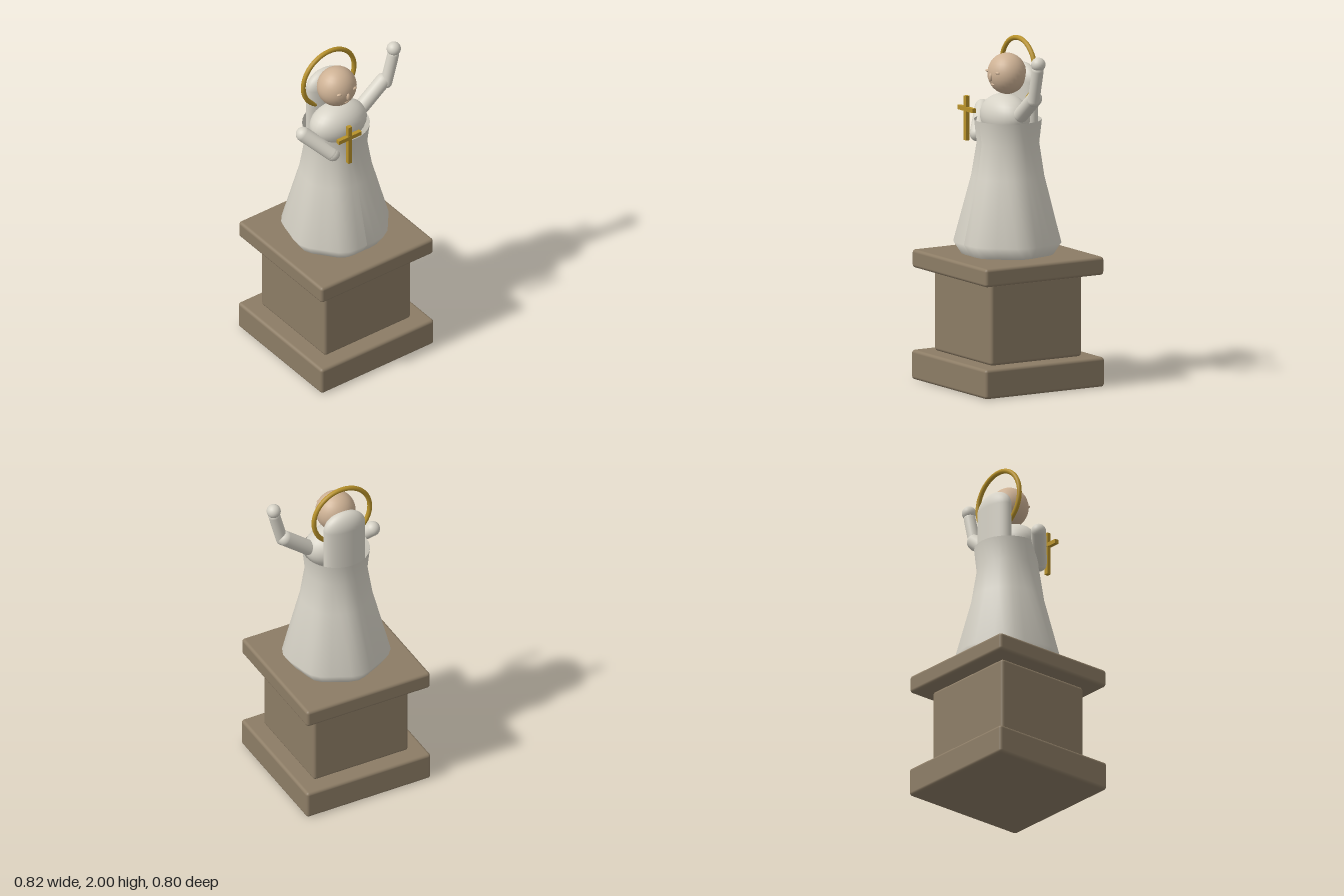
import * as THREE from 'three';
import { RoundedBoxGeometry } from 'three/addons/geometries/RoundedBoxGeometry.js';

const CX = -0.012; // centre line of the figure and plinth

function material(name, color, side = THREE.FrontSide) {
  const m = new THREE.MeshStandardMaterial({ color, side });
  m.name = name;
  return m;
}

export function createModel() {
  const group = new THREE.Group();
  const stone = material('stone', 0x8c7c65);
  const cloth = material('cloth', 0xd6d2c6, THREE.DoubleSide);
  const gold = material('gold', 0xb8922a);
  const skin = material('skin', 0xceb295);

  function add(name, geometry, mat, x = 0, y = 0, z = 0) {
    const mesh = new THREE.Mesh(geometry, mat);
    mesh.name = name;
    mesh.position.set(x, y, z);
    group.add(mesh);
    return mesh;
  }
  const ellipsoid = (name, mat, x, y, z, rx, ry, rz, seg = 32) =>
    add(name, new THREE.SphereGeometry(1, seg, seg / 2).scale(rx, ry, rz), mat, x, y, z);

  // Round-ended limb between two points
  function limb(name, from, to, r) {
    const a = new THREE.Vector3(...from), b = new THREE.Vector3(...to);
    const dir = b.clone().sub(a);
    const mesh = add(name, new THREE.CapsuleGeometry(r, dir.length(), 8, 24), cloth);
    mesh.position.copy(a).add(b).multiplyScalar(0.5);
    mesh.quaternion.setFromUnitVectors(new THREE.Vector3(0, 1, 0), dir.normalize());
  }

  // Plinth: three rounded blocks [name, bottom, top, width]
  for (const [name, y0, y1, w] of [
    ['plinthBase', 0, 0.17, 0.8],
    ['plinthShaft', 0.17, 0.645, 0.61],
    ['plinthCap', 0.645, 0.75, 0.795],
  ]) add(name, new RoundedBoxGeometry(w, y1 - y0, w, 3, 0.018), stone, CX, (y0 + y1) / 2, 0);

  // Robe: open lathe with seven soft folds that fade out towards the top
  const profile = [[0.26, 0.755], [0.305, 0.825], [0.208, 1.2], [0.178, 1.39], [0.193, 1.525]];
  const robe = new THREE.LatheGeometry(profile.map(p => new THREE.Vector2(...p)), 32);
  const pos = robe.attributes.position;
  for (let i = 0; i < pos.count; i++) {
    const x = pos.getX(i), y = pos.getY(i), z = pos.getZ(i);
    const fade = Math.max(0, (1.525 - y) / 0.7);
    const k = 1 - 0.03 * fade * Math.cos(7 * Math.atan2(x, z));
    pos.setXYZ(i, x * k, y, z * k);
  }
  robe.computeVertexNormals();
  add('robe', robe, cloth, CX, 0, 0);

  // Upper body and veil hanging behind the head
  ellipsoid('torso', cloth, CX, 1.545, 0.02, 0.182, 0.128, 0.125);
  const veil = new THREE.CapsuleGeometry(0.13, 0.44, 10, 32).scale(1, 0.77, 0.48);
  add('veil', veil, cloth, CX, 1.576, -0.1);

  // Head and small facial features
  ellipsoid('head', skin, CX, 1.788, 0.007, 0.116, 0.118, 0.11);
  for (const s of [-1, 1])
    ellipsoid(s > 0 ? 'leftEye' : 'rightEye', skin, CX + s * 0.052, 1.805, 0.103, 0.017, 0.008, 0.011, 16);
  ellipsoid('nose', skin, CX, 1.775, 0.116, 0.012, 0.024, 0.012, 16);
  ellipsoid('mouth', skin, CX, 1.732, 0.101, 0.018, 0.007, 0.008, 16);

  // Halo ring
  add('halo', new THREE.TorusGeometry(0.18, 0.014, 12, 64), gold, CX, 1.806, -0.07);

  // Raised left arm
  limb('leftUpperArm', [0.16, 1.575, 0.02], [0.305, 1.69, 0.022], 0.044);
  limb('leftForearm', [0.318, 1.68, 0.036], [0.365, 1.86, 0.038], 0.034);
  ellipsoid('leftHand', cloth, 0.37, 1.898, 0.037, 0.041, 0.041, 0.041, 24);

  // Right arm bent forward across the front
  limb('rightForearm', [-0.257, 1.56, 0.018], [-0.14, 1.44, 0.125], 0.043);
  ellipsoid('rightHand', cloth, -0.133, 1.432, 0.13, 0.043, 0.043, 0.043, 24);

  // Cross held in front
  add('crossUpright', new THREE.BoxGeometry(0.025, 0.257, 0.024), gold, -0.09, 1.54, 0.229);
  add('crossBar', new THREE.BoxGeometry(0.16, 0.025, 0.0245), gold, -0.09, 1.592, 0.229);

  return group;
}
